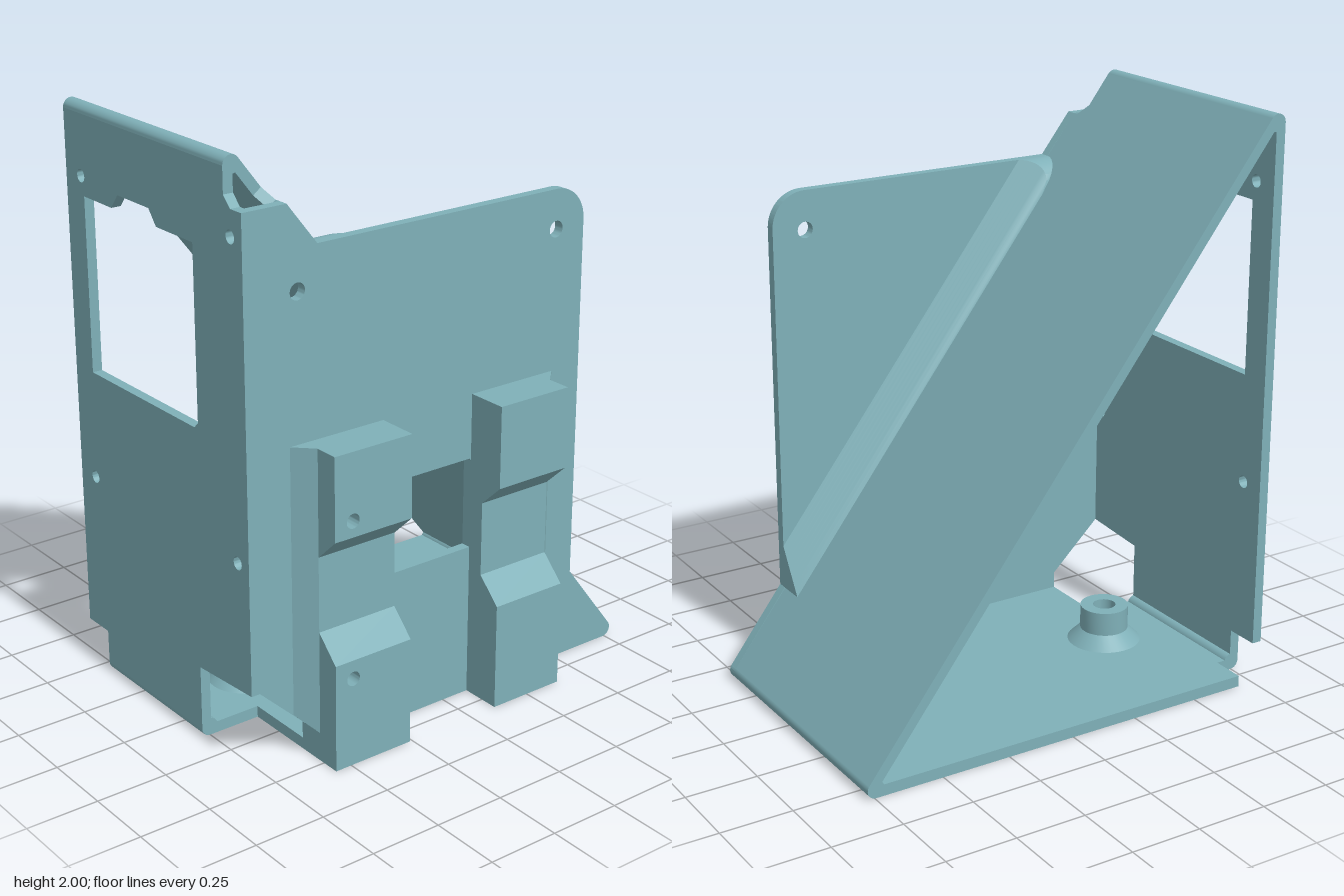
import * as THREE from 'three';
import { toCreasedNormals } from 'three/addons/utils/BufferGeometryUtils.js';

export function createModel() {
  const group = new THREE.Group();
  const material = new THREE.MeshStandardMaterial({ color: 0x7fb0b8, side: THREE.DoubleSide });
  const X = new THREE.Vector3(1, 0, 0), Y = new THREE.Vector3(0, 1, 0), Z = new THREE.Vector3(0, 0, 1);

  function add(name, geometry) {
    const mesh = new THREE.Mesh(toCreasedNormals(geometry, 0.6), material);
    mesh.name = name;
    group.add(mesh);
    return mesh;
  }
  const poly = (points) => new THREE.Shape(points.map(([a, b]) => new THREE.Vector2(a, b)));
  function addHole(shape, a, b, r) {
    shape.holes.push(new THREE.Path().absarc(a, b, r, 0, Math.PI * 2, true));
  }
  // Extrude a shape drawn on axes u, v from an origin, along u x v
  function panel(name, shape, depth, u = X, v = Y, origin = [0, 0, 0]) {
    const geometry = new THREE.ExtrudeGeometry(shape, { depth, bevelEnabled: false, curveSegments: 16 });
    const w = new THREE.Vector3().crossVectors(u, v);
    geometry.applyMatrix4(new THREE.Matrix4().makeBasis(u, v, w).setPosition(...origin));
    return add(name, geometry);
  }
  function roundedEdge(name, x, y, z0, z1) {
    const geometry = new THREE.CylinderGeometry(0.03, 0.03, z1 - z0, 24);
    geometry.rotateX(Math.PI / 2).translate(x, y, (z0 + z1) / 2);
    add(name, geometry);
  }

  const back = -0.57, front = 0.42, T = 0.035;

  // Front plate with centre opening and two screw holes
  const plate = new THREE.Shape();
  plate.moveTo(-0.78, 0.31);
  plate.lineTo(-0.56, 0.1);
  plate.lineTo(-0.56, 0);
  plate.lineTo(0.745, 0);
  plate.absarc(0.745, 0.03, 0.03, -Math.PI / 2, 0.657, false);
  plate.lineTo(0.57, 0.31);
  plate.lineTo(0.57, 1.59);
  plate.absarc(0.45, 1.59, 0.12, 0, Math.PI / 2, false);
  plate.lineTo(-0.51, 1.71);
  plate.lineTo(-0.62, 1.85);
  plate.lineTo(-0.78, 1.85);
  plate.holes.push(poly([[-0.26, 0.54], [-0.26, 0.86], [0.105, 0.86], [0.105, 0.54]]));
  addHole(plate, -0.585, 1.575, 0.028);
  addHole(plate, 0.45, 1.575, 0.028);
  panel('frontPlate', plate, T, X, Y, [0, 0, front - T]);

  // Side wall with notched window, corner cutouts and four small holes
  const wall = poly([
    [back, 0.15], [-0.45, 0.15], [-0.45, 0.03], [0.13, 0.03], [0.13, 0.26], [front, 0.28],
    [front, 1.85], [0.365, 1.85], [0.33, 1.885], [0.33, 1.97], [back, 1.97],
  ]);
  wall.holes.push(poly([
    [-0.465, 1.1], [-0.465, 1.7], [-0.3, 1.7], [-0.26, 1.75], [-0.08, 1.75], [-0.04, 1.7],
    [0.16, 1.7], [0.16, 1.12], [0.14, 1.1],
  ]));
  for (const z of [-0.48, 0.36]) for (const y of [0.72, 1.765]) addHole(wall, z, y, 0.022);
  panel('sideWall', wall, T, Z, Y, [-0.78 + T, 0, 0]);

  // Floor with cut corners and boss holes
  const bosses = [[0.485, -0.07], [-0.47, -0.07]];
  const floor = poly([
    [-0.69, back], [0.745, back], [0.745, front], [-0.56, front], [-0.56, 0.13],
    [-0.75, 0.13], [-0.75, -0.45], [-0.69, -0.45],
  ]);
  for (const [x, z] of bosses) addHole(floor, x, z, 0.04);
  panel('floor', floor, 0.04, X, Z, [0, 0.04, 0]);

  // Sloped wall from the top edge down to the far floor edge
  const start = new THREE.Vector3(-0.726, 1.988, 0), end = new THREE.Vector3(0.769, 0.048, 0);
  const along = end.clone().sub(start), length = along.length();
  along.normalize();
  const distAt = (y) => (y - start.y) / along.y;
  const slope = poly([
    [0, back], [length, back], [length, front], [distAt(1.85), front], [distAt(1.85), 0.365],
    [distAt(1.885), 0.33], [0, 0.33],
  ]);
  panel('slopedWall', slope, T, along, Z, start.toArray());

  // Rounded outer edges
  roundedEdge('topEdge', -0.75, 1.97, back, 0.33);
  roundedEdge('farFloorEdge', 0.745, 0.03, back, front);
  roundedEdge('nearFloorEdge', -0.75, 0.03, -0.45, 0.13);

  // Chamfered gusset between sloped wall and plate, lofted along z
  const steps = 10, positions = [], indices = [];
  const k = 1.297, lineY = (x, d) => 1.71 - k * (x + 0.51) + d * 1.638;
  const lineX = (y, d) => (1.71 + d * 1.638 - y) / k - 0.51;
  for (let i = 0; i <= steps; i++) {
    const d = 0.095 * i / steps, s = 1 - i / steps;
    const top = 1.6 + 0.11 * Math.sqrt(1 - s * s);
    const ring = [
      [lineX(top, 0), top], [0.57, lineY(0.57, 0)],
      [0.57, lineY(0.57, d)], [lineX(top, d), top],
    ];
    for (const [x, y] of ring) positions.push(x, y, 0.29 + d);
    if (i === steps) continue;
    for (let j = 0; j < 4; j++) {
      const a = i * 4 + j, b = i * 4 + (j + 1) % 4;
      indices.push(a, b, b + 4, a, b + 4, a + 4);
    }
  }
  const gusset = new THREE.BufferGeometry();
  gusset.setAttribute('position', new THREE.Float32BufferAttribute(positions, 3));
  gusset.setIndex(indices);
  gusset.computeVertexNormals();
  add('gusset', gusset);

  // Front clamp blocks: base, stepped pads with sloped notch, chamfered outer flange
  const height = 1.085;
  const blocks = [
    { x0: -0.56, x1: -0.26, inner: -0.56, outer: -0.62, holes: true },
    { x0: 0.105, x1: 0.39, inner: 0.39, outer: 0.45, holes: false },
  ];
  for (const { x0, x1, inner, outer, holes } of blocks) {
    const rect = (y0, y1) => poly([[x0, y0], [x1, y0], [x1, y1], [x0, y1]]);
    panel('blockBase', rect(0, height), 0.06, X, Y, [0, 0, front]);
    const lower = rect(0, 0.375), upper = rect(0.8, height);
    if (holes) {
      addHole(lower, -0.49, 0.31, 0.025);
      addHole(upper, -0.49, 0.855, 0.025);
    }
    panel('lowerPad', lower, 0.085, X, Y, [0, 0, 0.48]);
    panel('upperPad', upper, 0.085, X, Y, [0, 0, 0.48]);
    for (const [a, b] of [[0.375, 0.46], [0.8, 0.72]]) {
      const ramp = poly([[0.48, a], [0.565, a], [0.48, b]]);
      panel('padRamp', ramp, x1 - x0, Z, Y, [x1, 0, 0]);
    }
    const section = poly([[inner, front], [outer, front], [inner, 0.48]]);
    const flange = panel('blockFlange', section, height, X, Z, [0, height, 0]);
    if (holes) {
      // Trim the foot of this flange along the cut plate corner
      const p = flange.geometry.attributes.position;
      for (let i = 0; i < p.count; i++) {
        if (p.getY(i) < 0.01) p.setY(i, 0.1 + inner - p.getX(i));
      }
      flange.geometry.computeVertexNormals();
    }
  }

  // Hollow bosses with conical feet
  const profile = [[0.04, 0], [0.04, 0.17], [0.085, 0.17], [0.085, 0.085], [0.13, 0.04]]
    .map(([r, y]) => new THREE.Vector2(r, y));
  for (const [x, z] of bosses) {
    add('boss', new THREE.LatheGeometry(profile.slice().reverse(), 32)).position.set(x, 0, z);
  }
  return group;
}
